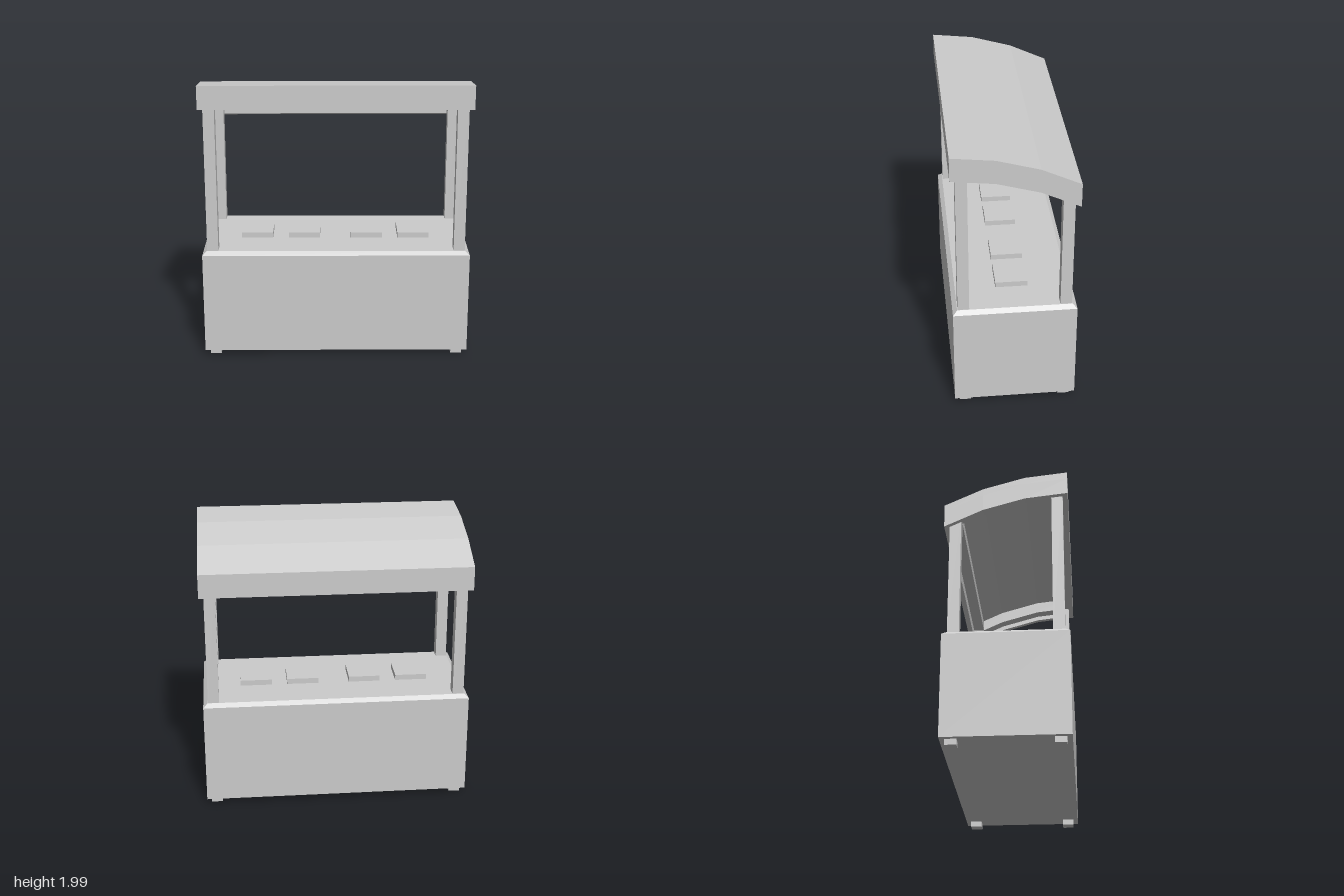
import * as THREE from 'three';

const W = 0.943, D = 0.4235;      // half width and half depth of counter and roof
const RIM = 0.034, POST = 0.079;  // roof skirt thickness, post thickness
const PROFILE = [[-D, 1.75], [-0.158, 1.872], [0.13, 1.953], [D, 1.985]]; // roof line, back to front

// Height of the roof line at depth z
function roofY(z) {
  let i = 0;
  while (i < PROFILE.length - 2 && z > PROFILE[i + 1][0]) i++;
  const [z0, y0] = PROFILE[i], [z1, y1] = PROFILE[i + 1];
  return y0 + (y1 - y0) * (z - z0) / (z1 - z0);
}

// Solid strip following the roof line between two depths and two offsets
function roofBand(x0, x1, z0, z1, low, high) {
  const zs = [z0, ...PROFILE.map(p => p[0]).filter(z => z > z0 && z < z1), z1];
  const points = [
    ...zs.map(z => new THREE.Vector2(z, roofY(z) + low)),
    ...zs.slice().reverse().map(z => new THREE.Vector2(z, roofY(z) + high)),
  ];
  const geo = new THREE.ExtrudeGeometry(new THREE.Shape(points), { depth: x1 - x0, bevelEnabled: false });
  geo.rotateY(-Math.PI / 2);
  geo.translate(x1, 0, 0);
  return geo;
}

function box(w, y0, y1, d, x = 0, z = 0) {
  return new THREE.BoxGeometry(w, y1 - y0, d).translate(x, (y0 + y1) / 2, z);
}

// Counter block with a narrow chamfer round its top
function counterGeometry() {
  const geo = new THREE.BoxGeometry(2 * W, 2, 2 * D, 1, 2, 1);
  const p = geo.attributes.position;
  for (let i = 0; i < p.count; i++) {
    const level = Math.round(p.getY(i)) + 1;
    p.setY(i, [0.04, 0.765, 0.79][level]);
    if (level === 2) {
      p.setX(i, Math.sign(p.getX(i)) * (W - 0.03));
      p.setZ(i, Math.sign(p.getZ(i)) * (D - 0.03));
    }
  }
  const flat = geo.toNonIndexed();
  flat.computeVertexNormals();
  return flat;
}

export function createModel() {
  const root = new THREE.Group();
  root.name = 'marketStall';
  const stall = new THREE.Group();
  stall.name = 'stall';
  stall.rotation.y = -0.168; // the stall stands slightly turned
  root.add(stall);

  const material = new THREE.MeshStandardMaterial({ color: 0xcccccc, flatShading: true });
  const add = (name, geo) => {
    const mesh = new THREE.Mesh(geo, material);
    mesh.name = name;
    stall.add(mesh);
  };

  add('counter', counterGeometry());

  // Feet and posts at the corners
  for (const sx of [-1, 1]) {
    for (const sz of [-1, 1]) {
      const x = sx * 0.87, z = sz * 0.35;
      add('foot', box(POST, 0, 0.04, POST, x, z));
      add('post', box(POST, 0.78, sz > 0 ? 1.86 : 1.69, POST, x, z));
    }
  }

  // Square trays on the counter
  for (const x of [-0.57, -0.228, 0.222, 0.561]) {
    add('tray', box(0.227, 0.79, 0.829, 0.224, x, 0));
  }

  // Curved roof with a hanging skirt
  const drop = -0.168, under = -0.05;
  add('roof', roofBand(-W, W, -D, D, under, 0));
  add('rightGable', roofBand(-W, -W + RIM, -D, D, drop, under));
  add('leftGable', roofBand(W - RIM, W, -D, D, drop, under));
  add('backFascia', roofBand(-W + RIM, W - RIM, -D, -D + RIM, drop, under));
  add('frontFascia', roofBand(-W + RIM, W - RIM, D - RIM, D, drop, under));

  // Beams joining the post tops inside the skirt
  const inX = W - RIM, inZ = D - RIM;
  add('rightBeam', roofBand(-inX, -inX + POST, -inZ, inZ, -0.135, under));
  add('leftBeam', roofBand(inX - POST, inX, -inZ, inZ, -0.135, under));
  const span = 2 * (inX - POST);
  add('backBeam', box(span, 1.668, 1.735, POST, 0, -inZ + POST / 2));
  add('frontBeam', box(span, 1.84, 1.92, POST, 0, inZ - POST / 2));

  return root;
}
